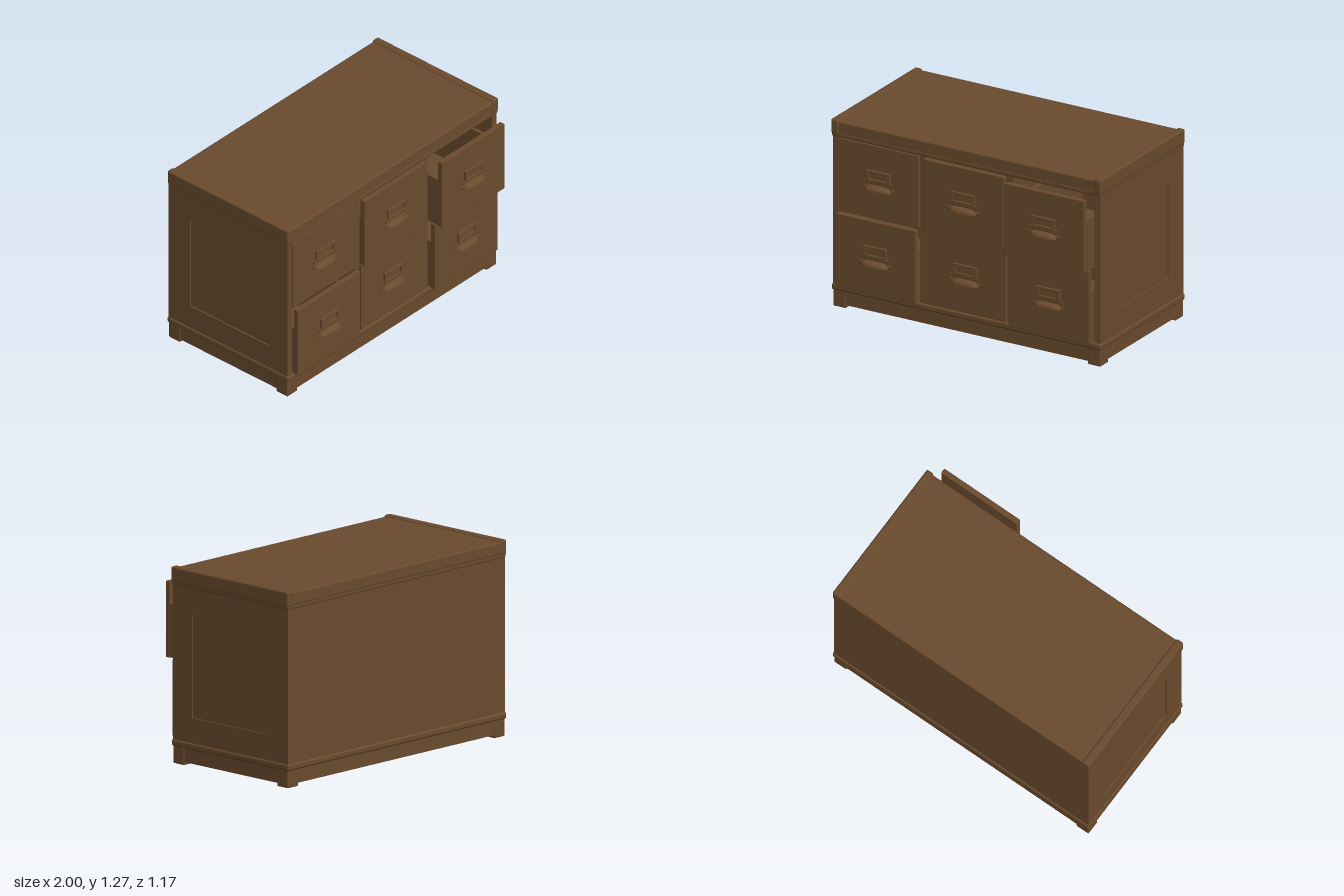
import * as THREE from 'three';
import { RoundedBoxGeometry } from 'three/addons/geometries/RoundedBoxGeometry.js';

const wood = new THREE.MeshStandardMaterial({ color: 0x6a4b2d, side: THREE.DoubleSide });
wood.name = 'brown wood';

function add(parent, name, geometry) {
  const mesh = new THREE.Mesh(geometry, wood);
  mesh.name = name;
  parent.add(mesh);
  return mesh;
}

// Box given by its lower and upper corner; r rounds the edges
function box(parent, name, [x0, y0, z0], [x1, y1, z1], r = 0) {
  const s = [x1 - x0, y1 - y0, z1 - z0];
  const g = r ? new RoundedBoxGeometry(...s, 3, r) : new THREE.BoxGeometry(...s);
  return add(parent, name, g.translate((x0 + x1) / 2, (y0 + y1) / 2, (z0 + z1) / 2));
}

function rect(x0, y0, x1, y1, Type = THREE.Shape) {
  return new Type([[x0, y0], [x1, y0], [x1, y1], [x0, y1]].map(p => new THREE.Vector2(...p)));
}

// Label holder and cup pull, origin at the drawer front's bottom centre
function makePull() {
  const pull = new THREE.Group();
  pull.name = 'pull';
  const frame = rect(-0.085, 0.255, 0.085, 0.325);
  frame.holes.push(rect(-0.068, 0.266, 0.068, 0.312, THREE.Path));
  add(pull, 'labelFrame', new THREE.ExtrudeGeometry(frame, {
    depth: 0.012, bevelEnabled: true, bevelSize: 0.002, bevelThickness: 0.003, bevelSegments: 2 }));
  box(pull, 'labelCard', [-0.07, 0.264, 0], [0.07, 0.314, 0.004]);
  box(pull, 'shoulderPlate', [-0.105, 0.235, 0], [0.105, 0.258, 0.008], 0.003);
  box(pull, 'cupFlange', [-0.115, 0.2, 0], [0.115, 0.222, 0.007], 0.003);

  // Cup: a quarter dome squared off along its length
  const cup = new THREE.SphereGeometry(1, 24, 8, 0, Math.PI, 0, Math.PI / 2);
  const p = cup.attributes.position;
  for (let i = 0; i < p.count; i++) {
    const x = p.getX(i);
    p.setX(i, Math.sign(x) * Math.sqrt(Math.abs(x)));
  }
  cup.scale(0.1, 0.03, 0.041).translate(0, 0.198, 0);
  cup.computeVertexNormals();
  add(pull, 'cup', cup);

  for (const s of [-1, 1]) {
    const screw = new THREE.SphereGeometry(0.007, 10, 6).translate(s * 0.107, 0.213, 0.006);
    add(pull, 'screw', screw);
  }
  return pull;
}

// Open-topped drawer, origin at the bottom centre of its front face
function makeDrawer() {
  const drawer = new THREE.Group();
  drawer.name = 'drawer';
  const w = 0.296, back = -0.93;
  box(drawer, 'drawerFront', [-w, 0, -0.036], [w, 0.495, 0], 0.004);
  for (const s of [-1, 1]) {
    const side = box(drawer, 'drawerSide', [-0.012, 0.003, back], [0.012, 0.35, -0.034]);
    side.position.x = s * (w - 0.014);
  }
  box(drawer, 'drawerBack', [-w + 0.02, 0.003, back], [w - 0.02, 0.35, back + 0.024]);
  box(drawer, 'drawerBottom', [-w + 0.02, 0.003, back], [w - 0.02, 0.02, -0.034]);
  drawer.add(makePull());
  return drawer;
}

export function createModel() {
  const model = new THREE.Group();
  model.name = 'drawerCabinet';

  // Carcass
  box(model, 'backPanel', [-0.985, 0.15, -0.575], [0.985, 1.165, -0.555]);
  box(model, 'bottomPanel', [-0.96, 0.125, -0.56], [0.96, 0.152, 0.42]);
  for (const x of [-0.325, 0.32]) {
    box(model, 'divider', [x - 0.02, 0.15, -0.56], [x + 0.02, 1.165, 0.427]);
  }

  // Framed sides with a sunken panel
  const side = rect(-0.43, 0.15, 0.575, 1.165);
  side.holes.push(rect(-0.265, 0.32, 0.395, 0.99, THREE.Path));
  for (const s of [-1, 1]) {
    const frame = add(model, 'sideFrame', new THREE.ExtrudeGeometry(side, { depth: 0.043, bevelEnabled: false })
      .translate(0, 0, -0.0215).rotateY(Math.PI / 2));
    frame.position.x = s * 0.9685;
    const panel = box(model, 'sidePanel', [-0.015, 0.31, -0.405], [0.015, 1, 0.275]);
    panel.position.x = s * 0.965;
  }

  // Top board, its moulding and the raised end caps
  box(model, 'topMoulding', [-0.995, 1.157, -0.578], [0.995, 1.19, 0.437], 0.01);
  box(model, 'topBoard', [-0.96, 1.18, -0.58], [0.96, 1.265, 0.435], 0.012);
  for (const s of [-1, 1]) {
    const cap = box(model, 'topEndCap', [-0.0265, 1.177, -0.582], [0.0265, 1.275, 0.442], 0.012);
    cap.position.x = s * 0.9715;
  }

  // Base moulding and apron
  for (const z of [-0.555, 0.41]) {
    box(model, 'baseMoulding', [-0.997, 0.112, z - 0.03], [0.997, 0.157, z + 0.03], 0.014);
  }
  for (const z of [-0.555, 0.41]) {
    box(model, 'apron', [-0.96, 0.02, z - 0.014], [0.96, 0.125, z + 0.014]);
  }
  for (const s of [-1, 1]) {
    const moulding = box(model, 'baseMoulding', [-0.03, 0.112, -0.585], [0.03, 0.157, 0.44], 0.014);
    moulding.position.x = s * 0.967;
    const apron = box(model, 'apron', [-0.014, 0.02, -0.55], [0.014, 0.125, 0.405]);
    apron.position.x = s * 0.97;
  }

  // Feet
  for (const s of [-1, 1]) {
    for (const z of [-0.527, 0.382]) {
      const foot = box(model, 'foot', [-0.048, 0, -0.048], [0.048, 0.125, 0.048], 0.008);
      foot.position.set(s * 0.942, 0, z);
    }
  }

  // Drawers, each pulled out by its own amount
  const columns = [-0.647, -0.002, 0.642];
  const rows = [
    { y: 0.16, fronts: [0.475, 0.437, 0.485] },
    { y: 0.66, fronts: [0.437, 0.465, 0.544] },
  ];
  for (const { y, fronts } of rows) {
    columns.forEach((x, i) => {
      const drawer = makeDrawer();
      drawer.position.set(x, y, fronts[i]);
      model.add(drawer);
    });
  }
  return model;
}
